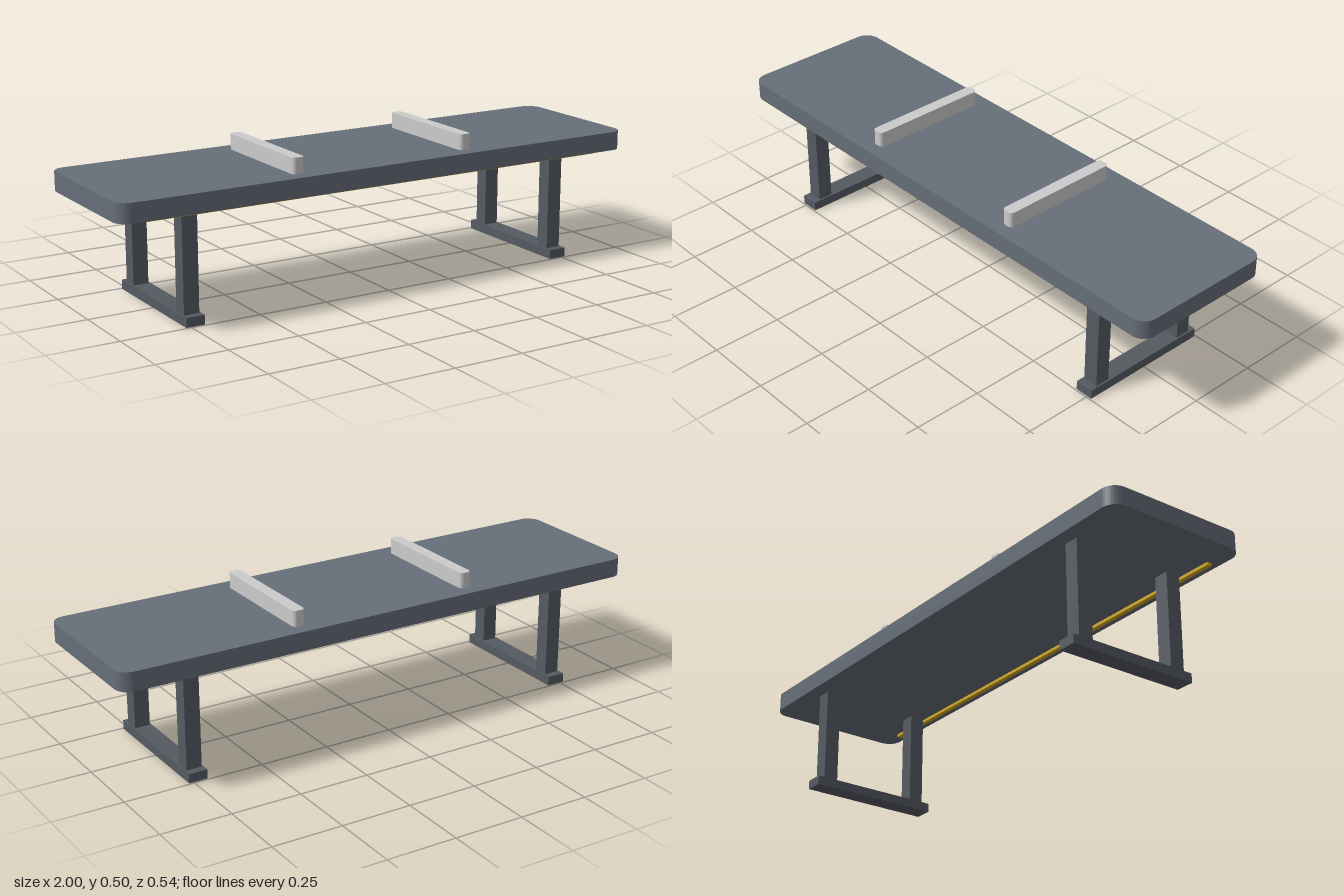
import * as THREE from 'three';

const paint = (color) => new THREE.MeshStandardMaterial({ color });

// Upright slab with rounded vertical corners, resting on y = 0
function roundedSlab(width, height, depth, r) {
  const x = width / 2, z = depth / 2;
  const s = new THREE.Shape();
  s.moveTo(-x + r, -z);
  s.lineTo(x - r, -z);
  s.absarc(x - r, -z + r, r, -Math.PI / 2, 0);
  s.lineTo(x, z - r);
  s.absarc(x - r, z - r, r, 0, Math.PI / 2);
  s.lineTo(-x + r, z);
  s.absarc(-x + r, z - r, r, Math.PI / 2, Math.PI);
  s.lineTo(-x, -z + r);
  s.absarc(-x + r, -z + r, r, Math.PI, Math.PI * 1.5);
  const geo = new THREE.ExtrudeGeometry(s, { depth: height, bevelEnabled: false, curveSegments: 6 });
  return geo.rotateX(-Math.PI / 2);
}

export function createModel() {
  const model = new THREE.Group();
  model.name = 'bench';
  const seatPaint = paint(0x666e78);
  const legPaint = paint(0x555a62);
  const barPaint = paint(0xc4c6c8);
  const stripPaint = paint(0xd4a81c);

  const add = (name, geometry, material, x, y, z) => {
    const mesh = new THREE.Mesh(geometry, material);
    mesh.name = name;
    mesh.position.set(x, y, z);
    model.add(mesh);
  };

  // Seat slab and the thin strip under its front edge
  add('seat', roundedSlab(2, 0.067, 0.544, 0.05), seatPaint, 0, 0.379, 0);
  add('accentStrip', new THREE.BoxGeometry(1.78, 0.011, 0.017), stripPaint, 0, 0.3735, 0.231);

  const divider = roundedSlab(0.044, 0.056, 0.444, 0.015);
  const post = new THREE.BoxGeometry(0.055, 0.346, 0.055);
  const foot = new THREE.BoxGeometry(0.067, 0.033, 0.489);

  for (const side of [1, -1]) {
    const name = side > 0 ? 'left' : 'right';
    // Divider bar on the seat
    add(name + 'Divider', divider, barPaint, side * 0.333, 0.446, 0);
    // Leg frame: two posts on a foot rail
    add(name + 'Foot', foot, legPaint, side * 0.733, 0.0165, 0);
    add(name + 'FrontLeg', post, legPaint, side * 0.733, 0.206, 0.1895);
    add(name + 'BackLeg', post, legPaint, side * 0.733, 0.206, -0.1895);
  }
  return model;
}
